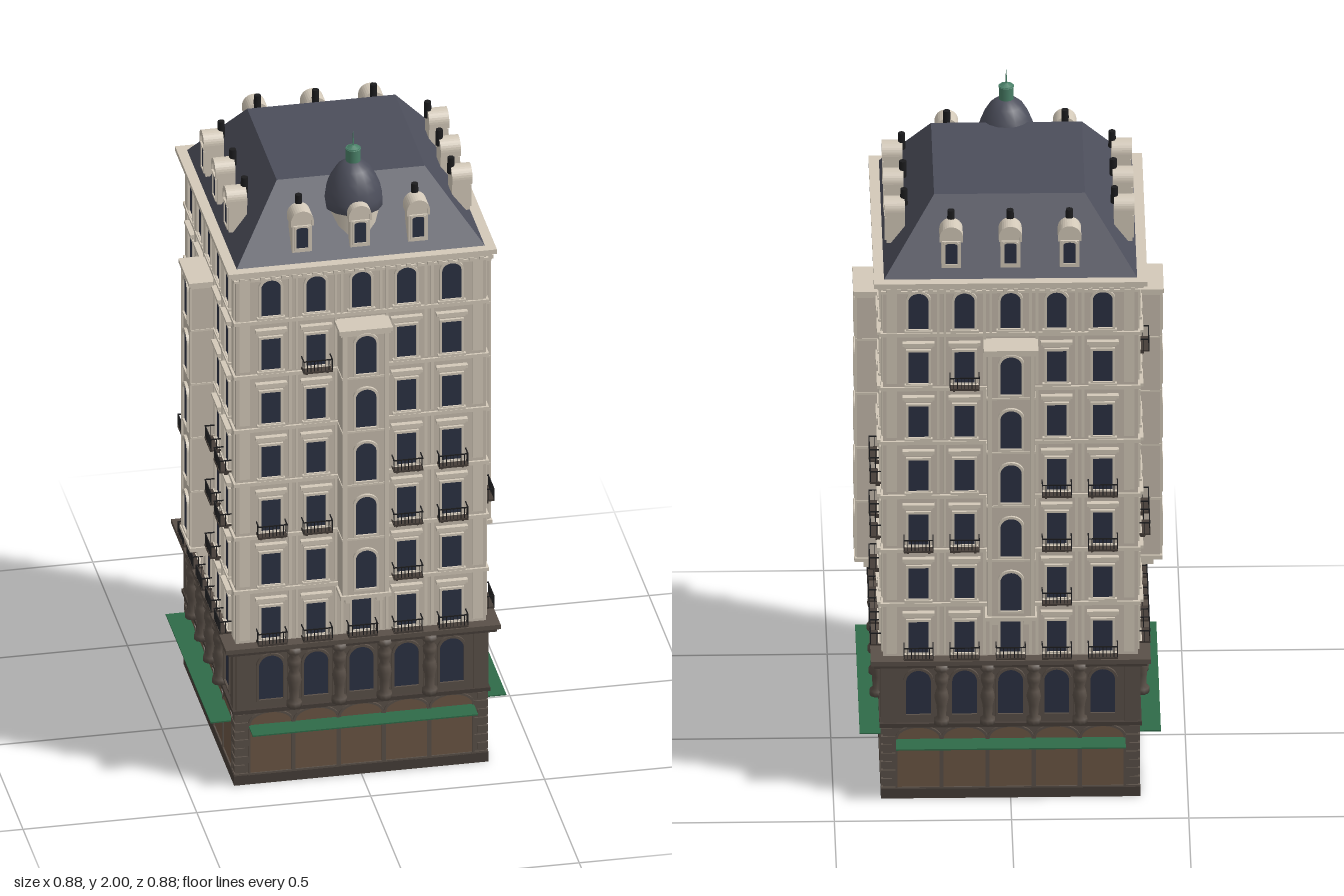
import * as THREE from 'three';

const mat = (color, extra = {}) => new THREE.MeshStandardMaterial({ color, ...extra });
const WALL = mat(0xc6bcad), TRIM = mat(0xd3c9b9), STONE = mat(0x5a5048), DARK = mat(0x463e38);
const SHOP = mat(0x6b5644), GLASS = mat(0x2b3143), IRON = mat(0x1c1c1e), GREEN = mat(0x2f6b48);
const SLATE = mat(0x4c4e5b, { flatShading: true }), COPPER = mat(0x4a8068);

const W = 0.36;                                   // half width of the tower
const COLS = [-0.26, -0.13, 0, 0.13, 0.26];       // window axes
const FLOOR = i => 0.452 + 0.1725 * i;            // floor level of the seven upper storeys

function add(parent, name, geo, material, x = 0, y = 0, z = 0) {
  const m = new THREE.Mesh(geo, material);
  m.name = name;
  m.position.set(x, y, z);
  parent.add(m);
  return m;
}
const box = (p, name, material, w, h, d, x, y, z) =>
  add(p, name, new THREE.BoxGeometry(w, h, d), material, x, y, z);

// Opening outline standing on y = 0; rise is the height of the arched head
function outline(w, h, rise, C = THREE.Shape, y0 = 0) {
  const s = new C();
  s.moveTo(-w / 2, y0);
  s.lineTo(w / 2, y0);
  s.lineTo(w / 2, h - rise);
  if (rise > 0) s.absellipse(0, h - rise, w / 2, rise, 0, Math.PI, false);
  else s.lineTo(-w / 2, h);
  s.lineTo(-w / 2, y0);
  return s;
}
const slab = (shape, depth) =>
  new THREE.ExtrudeGeometry(shape, { depth, bevelEnabled: false, curveSegments: 8 });

// Pane with a raised surround
function opening(p, name, w, h, rise, x, y, z, pane, frame, t = 0.007, proud = 0.008) {
  const g = new THREE.Group();
  g.name = name;
  g.position.set(x, y, z);
  add(g, 'pane', slab(outline(w, h, rise), 0.002), pane);
  const rim = outline(w + 2 * t, h + t, rise > 0 ? rise + t * 0.6 : 0, THREE.Shape, -t);
  rim.holes.push(outline(w, h, rise, THREE.Path));
  add(g, 'surround', slab(rim, proud), frame);
  p.add(g);
  return g;
}

// Iron balcony with a thin slab and bars
function balcony(p, x, y, z) {
  const g = new THREE.Group(), w = 0.084, d = 0.036, h = 0.036;
  g.name = 'balcony';
  g.position.set(x, y, z);
  box(g, 'balconySlab', DARK, w, 0.006, d, 0, 0, d / 2);
  box(g, 'rail', IRON, w, 0.003, 0.003, 0, h, d - 0.002);
  for (let i = 0; i < 9; i++)
    box(g, 'bar', IRON, 0.002, h, 0.002, -w / 2 + 0.001 + i * (w - 0.002) / 8, h / 2, d - 0.002);
  for (const s of [-1, 1]) {
    box(g, 'sideRail', IRON, 0.003, 0.003, d, s * (w / 2 - 0.001), h, d / 2);
    box(g, 'sideBar', IRON, 0.002, h, 0.002, s * (w / 2 - 0.001), h / 2, d / 2);
    box(g, 'bracket', DARK, 0.006, 0.012, 0.02, s * 0.03, -0.008, 0.01);
  }
  p.add(g);
}

function shopFront(p) {
  for (const x of COLS) opening(p, 'shopWindow', 0.118, 0.19, 0.035, x, 0.035, W, SHOP, STONE, 0.006, 0.006);
  box(p, 'awning', GREEN, 0.648, 0.004, 0.065, 0, 0.186, 0.3925);
  // Corner quoins
  for (const s of [-1, 1]) for (let i = 0; i < 8; i++)
    box(p, 'quoin', STONE, i % 2 ? 0.03 : 0.04, 0.02, 0.006, s * (i % 2 ? 0.35 : 0.345), 0.025 + i * 0.027, W + 0.002);
}

const columnProfile = [[0, 0], [0.022, 0], [0.022, 0.016], [0.013, 0.024], [0.015, 0.06], [0.021, 0.085],
  [0.017, 0.105], [0.013, 0.115], [0.019, 0.135], [0.02, 0.15], [0.012, 0.162], [0.022, 0.175], [0.022, 0.19], [0, 0.19]]
  .map(q => new THREE.Vector2(...q));

function mezzanine(p) {
  for (const x of COLS) opening(p, 'mezzanineWindow', 0.07, 0.14, 0.035, x, 0.268, W, GLASS, STONE);
  for (const x of [-0.195, -0.065, 0.065, 0.195]) {
    box(p, 'pier', STONE, 0.034, 0.19, 0.012, x, 0.335, W + 0.004);
    add(p, 'figureColumn', new THREE.LatheGeometry(columnProfile, 10), STONE, x, 0.243, 0.373);
  }
  for (const x of [-0.34, 0.34]) box(p, 'cornerPier', STONE, 0.036, 0.19, 0.01, x, 0.335, W + 0.002);
}

const balconies = [[0, [-0.26, -0.13, 0, 0.13, 0.26]], [1, [0.13]], [2, [-0.26, -0.13, 0.13, 0.26]],
  [3, [0.13, 0.26]], [5, [-0.13]]];

function upperStoreys(p) {
  for (let i = 0; i < 7; i++) {
    const y = FLOOR(i), top = i === 6;
    for (const x of COLS) {
      if (x === 0 && i > 0 && !top) continue;
      opening(p, 'window', 0.056, top ? 0.115 : 0.1, top ? 0.024 : 0, x, y + 0.012, W, GLASS, TRIM);
      box(p, 'sill', TRIM, 0.08, 0.007, 0.014, x, y + 0.006, W + 0.005);
      if (!top) {
        box(p, 'hood', TRIM, 0.09, 0.009, 0.018, x, y + 0.14, W + 0.007);
        box(p, 'hoodPanel', TRIM, 0.078, 0.008, 0.01, x, y + 0.131, W + 0.004);
      }
    }
    // Paired pilaster strips between the window axes
    for (const x of [-0.195, -0.065, 0.065, 0.195]) for (const s of [-1, 1])
      if (!(Math.abs(x) < 0.1 && s * x < 0 && i > 0 && !top))
        box(p, 'pilaster', TRIM, 0.008, top ? 0.14 : 0.158, 0.008, x + s * 0.009, y + (top ? 0.07 : 0.086), W + 0.003);
    for (const s of [-1, 1])
      box(p, 'cornerStrip', TRIM, 0.03, top ? 0.14 : 0.15, 0.005, s * 0.335, y + (top ? 0.07 : 0.085), W + 0.002);
  }
  for (const [i, xs] of balconies) for (const x of xs) balcony(p, x, FLOOR(i) + 0.006, W);
}

// Projecting bay over five storeys
function bay(p) {
  const g = new THREE.Group();
  g.name = 'bay';
  box(g, 'bayBody', WALL, 0.134, 0.85, 0.07, 0, 1.032, W + 0.033);
  box(g, 'bayCap', TRIM, 0.154, 0.012, 0.08, 0, 1.46, W + 0.038);
  box(g, 'bayCapMould', TRIM, 0.144, 0.01, 0.074, 0, 1.45, W + 0.036);
  box(g, 'bayFoot', TRIM, 0.146, 0.012, 0.076, 0, 0.606, W + 0.037);
  for (const s of [-1, 1]) {
    box(g, 'bayEdge', TRIM, 0.012, 0.83, 0.006, s * 0.06, 1.03, W + 0.07);
    box(g, 'corbel', TRIM, 0.02, 0.026, 0.05, s * 0.045, 0.588, W + 0.024);
  }
  for (let i = 1; i < 6; i++) {
    opening(g, 'bayWindow', 0.06, 0.122, 0.028, 0, FLOOR(i) + 0.008, W + 0.068, GLASS, TRIM);
    if (i > 1) box(g, 'bayBand', TRIM, 0.138, 0.006, 0.073, 0, FLOOR(i) - 0.006, W + 0.0345);
  }
  p.add(g);
}

function dormer(p, x) {
  const g = new THREE.Group();
  g.name = 'dormer';
  g.position.set(x, 1.685, 0.295);
  add(g, 'dormerBody', slab(outline(0.056, 0.128, 0.028), 0.052), TRIM);
  const hood = outline(0.066, 0.133, 0.033, THREE.Shape, 0.085);
  hood.holes.push(outline(0.052, 0.124, 0.026, THREE.Path, 0.084 + 0.002));
  add(g, 'dormerHood', slab(hood, 0.058), TRIM);
  opening(g, 'dormerWindow', 0.034, 0.066, 0.006, 0, 0.014, 0.052, GLASS, TRIM, 0.006, 0.005);
  add(g, 'chimneyPot', new THREE.CylinderGeometry(0.01, 0.011, 0.05, 8), IRON, 0, 0.134, 0.002);
  p.add(g);
}

// Square ring course, used for cornices
const course = (p, name, m, half, y0, y1) => box(p, name, m, half * 2, y1 - y0, half * 2, 0, (y0 + y1) / 2, 0);

export function createModel() {
  const root = new THREE.Group();
  root.name = 'cornerHotel';

  // Main masses and courses
  course(root, 'shopBase', STONE, W, 0, 0.232);
  course(root, 'plinth', DARK, 0.366, 0, 0.03);
  course(root, 'mezzanineBody', STONE, W, 0.232, 0.44);
  course(root, 'shopCornice', DARK, 0.37, 0.228, 0.24);
  course(root, 'mezzanineCorniceLow', DARK, 0.386, 0.426, 0.438);
  course(root, 'mezzanineCornice', STONE, 0.395, 0.438, 0.452);
  course(root, 'towerBody', WALL, W, 0.452, 1.635);
  for (let i = 1; i < 7; i++) course(root, 'stringCourse', TRIM, 0.367, FLOOR(i) - 0.012, FLOOR(i) - 0.001);
  course(root, 'friezeBand', TRIM, 0.366, 1.613, 1.62);
  course(root, 'corniceLow', TRIM, 0.374, 1.63, 1.641);
  course(root, 'cornice', TRIM, 0.386, 1.641, 1.655);

  // Mansard roof
  const roof = new THREE.CylinderGeometry(0.213 * Math.SQRT2, 0.357 * Math.SQRT2, 0.195, 4, 1);
  roof.rotateY(Math.PI / 4);
  add(root, 'mansardRoof', roof, SLATE, 0, 1.7525, 0);

  // Four matching sides
  for (let k = 0; k < 4; k++) {
    const side = new THREE.Group();
    side.name = ['frontSide', 'leftSide', 'backSide', 'rightSide'][k];
    side.rotation.y = k * Math.PI / 2;
    shopFront(side);
    mezzanine(side);
    upperStoreys(side);
    bay(side);
    for (let i = 0; i < 24; i++)
      box(side, 'modillion', TRIM, 0.012, 0.012, 0.018, -0.345 + i * 0.03, 1.626, W + 0.008);
    for (const x of [-0.167, 0, 0.167]) dormer(side, x);
    root.add(side);
  }

  // Domed turret over the front
  const turret = new THREE.Group();
  turret.name = 'turret';
  turret.position.set(0, 0, 0.247);
  add(turret, 'drum', new THREE.CylinderGeometry(0.075, 0.075, 0.1, 16), TRIM, 0, 1.735, 0);
  const dome = [[0.075, 1.772], [0.085, 1.775], [0.083, 1.8], [0.077, 1.83], [0.065, 1.86], [0.047, 1.89], [0.025, 1.908], [0, 1.912]]
    .map(q => new THREE.Vector2(...q));
  add(turret, 'dome', new THREE.LatheGeometry(dome, 16), mat(0x4c4e5b, { side: THREE.DoubleSide }));
  add(turret, 'lantern', new THREE.CylinderGeometry(0.021, 0.021, 0.045, 10), COPPER, 0, 1.928, 0);
  add(turret, 'lanternCap', new THREE.CylinderGeometry(0.004, 0.023, 0.01, 10), COPPER, 0, 1.953, 0);
  add(turret, 'spire', new THREE.CylinderGeometry(0.001, 0.003, 0.05, 6), COPPER, 0, 1.975, 0);
  root.add(turret);
  return root;
}
